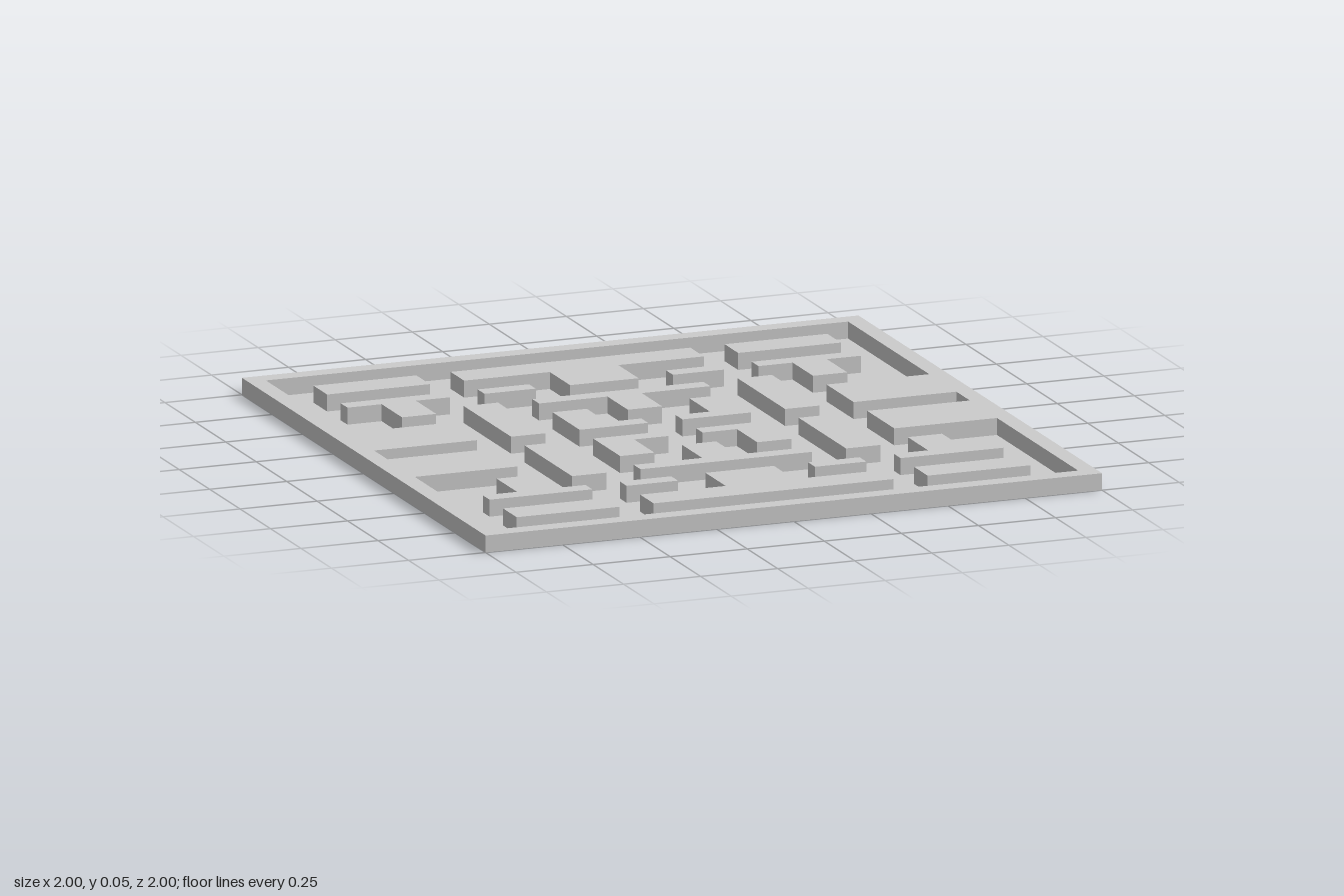
import * as THREE from 'three';
import { mergeGeometries } from 'three/addons/utils/BufferGeometryUtils.js';

const U = 1 / 18;      // layout grid step
const H = 0.053;       // wall height
const material = new THREE.MeshStandardMaterial({ color: 0xcccccc, side: THREE.DoubleSide, flatShading: true });

const toPoints = (pairs) => pairs.map(([x, y]) => new THREE.Vector2(x * U, y * U));
const rect = (x0, y0, x1, y1) => [[x0, y0], [x1, y0], [x1, y1], [x0, y1]];
const mirror = (pairs, sx, sy) => pairs.map(([x, y]) => [x * sx, y * sy]);

// Horizontal sheet at height y, with optional openings
function sheet(outline, openings, y) {
  const shape = new THREE.Shape(toPoints(outline));
  shape.holes = openings.map((o) => new THREE.Path(toPoints(o)));
  const geo = new THREE.ShapeGeometry(shape).rotateX(-Math.PI / 2).translate(0, y, 0).toNonIndexed();
  geo.deleteAttribute('uv');
  return geo;
}

// Vertical band along an outline, facing outward or inward
function band(outline, inward = false) {
  const pts = toPoints(outline);
  if (THREE.ShapeUtils.isClockWise(pts) !== inward) pts.reverse();
  const pos = [];
  pts.forEach((a, i) => {
    const b = pts[(i + 1) % pts.length];
    const a0 = [a.x, 0, -a.y], b0 = [b.x, 0, -b.y];
    const a1 = [a.x, H, -a.y], b1 = [b.x, H, -b.y];
    pos.push(...a0, ...b0, ...b1, ...a0, ...b1, ...a1);
  });
  const geo = new THREE.BufferGeometry();
  geo.setAttribute('position', new THREE.Float32BufferAttribute(pos, 3));
  geo.computeVertexNormals();
  return geo;
}

export function createModel() {
  const model = new THREE.Group();
  const add = (name, ...geos) => {
    const mesh = new THREE.Mesh(mergeGeometries(geos), material);
    mesh.name = name;
    model.add(mesh);
  };

  // Blocks on the centre line, repeated front and back
  const centreBlocks = {
    outerTeeBlock: [[-7, 15], [-7, 13], [-2, 13], [-2, 10], [2, 10], [2, 13], [7, 13], [7, 15]],
    innerTeeBlock: [[-5, 8], [-5, 7], [-1, 7], [-1, 4], [1, 4], [1, 7], [5, 7], [5, 8]],
  };
  // Blocks repeated in all four quarters
  const quarterBlocks = {
    cornerBlock: rect(9, 13, 15, 15),
    sideTeeBlock: [[9, 11], [9, 10], [11, 10], [11, 7], [13, 7], [13, 10], [15, 10], [15, 11]],
    shortBlock: rect(4, 10, 7, 11),
    longBlock: rect(7, 1, 9, 8),
    hookBlock: [[5, 1], [5, 5], [3, 5], [3, 2], [1, 2], [1, 1]],
  };

  // Hollow blocks, open underneath
  const openings = [];
  const addBlock = (name, outline) => {
    openings.push(outline);
    add(name, sheet(outline, [], H), band(outline));
  };
  for (const sy of [1, -1]) {
    for (const [name, o] of Object.entries(centreBlocks)) addBlock(name, mirror(o, 1, sy));
    for (const sx of [1, -1]) {
      for (const [name, o] of Object.entries(quarterBlocks)) addBlock(name, mirror(o, sx, sy));
    }
  }

  // Inner edge of the rim, stepping in around the side tabs
  const rightEdge = [[17, -17], [17, -5], [11, -5], [11, -1], [17, -1],
    [17, 1], [11, 1], [11, 5], [17, 5], [17, 17]];
  const inner = [...rightEdge, ...mirror(rightEdge, -1, -1)];
  const outer = rect(-18, -18, 18, 18);

  // Hollow rim with side tabs, and the floor between the walls
  add('rim', sheet(outer, [inner], H), band(outer), band(inner, true));
  add('floor', sheet(inner, openings, 0));
  return model;
}
